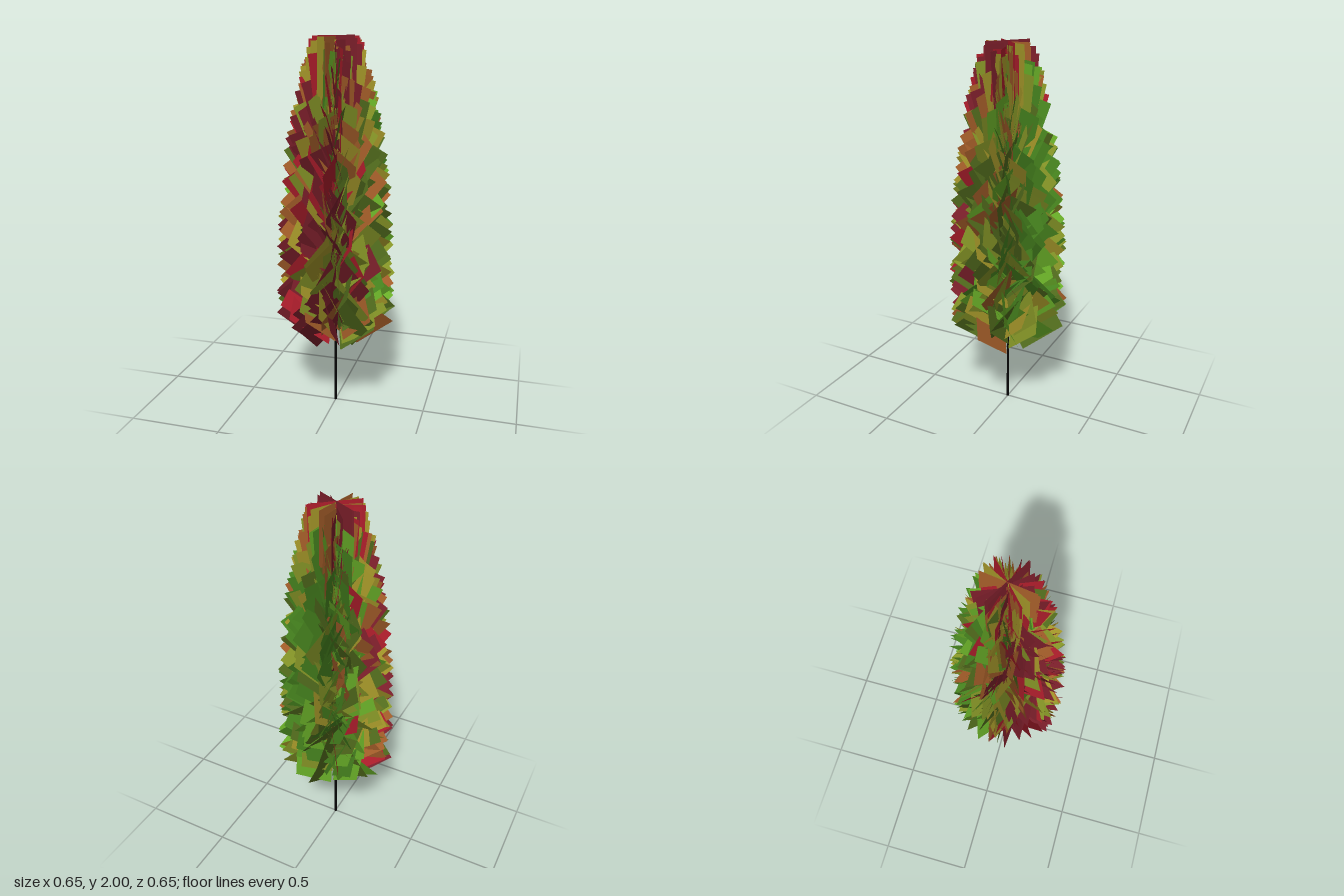
import * as THREE from 'three';
import { mergeGeometries } from 'three/addons/utils/BufferGeometryUtils.js';

const LEAVES = 400, LENGTH = 0.285, WIDTH = 0.26;
const BASE_Y = 0.425, TOP_Y = 2 - LENGTH;

// Leaf colours from the green back of the plant to its red front
const PALETTE = [0x4a8a20, 0x6ab028, 0x55701e, 0x8a9a28, 0xa89a2a, 0xa8602a, 0xb01e2c, 0x80202c];

function seeded(seed) {
  return () => {
    seed = (seed * 16807) % 2147483647;
    return seed / 2147483647;
  };
}

export function createModel() {
  const model = new THREE.Group();
  model.name = 'leafyShrub';
  const rand = seeded(4711);

  // Thin dark stem, slightly thicker near the ground
  const stemMaterial = new THREE.MeshStandardMaterial({ color: 0x050505 });
  const addStem = (name, radius, from, to) => {
    const stem = new THREE.Mesh(new THREE.CylinderGeometry(radius * 0.85, radius, to - from, 8), stemMaterial);
    stem.position.y = (from + to) / 2;
    stem.name = name;
    model.add(stem);
  };
  addStem('lowerStem', 0.008, 0, 0.2);
  addStem('upperStem', 0.0065, 0.2, 1.75);

  // Rectangular leaves spiral up the stem: spread wide below, upright at the top
  const groups = PALETTE.map(() => []);
  for (let i = 0; i < LEAVES; i++) {
    const t = i / (LEAVES - 1);
    const yaw = i * 2.39996 + (rand() - 0.5) * 0.6;
    const tilt = THREE.MathUtils.degToRad(51) * (1 - Math.pow(t, 2.3));
    const roll = (rand() < 0.5 ? -1 : 1) * (0.15 + rand() * 0.7);
    const leaf = new THREE.PlaneGeometry(WIDTH, LENGTH);
    leaf.translate(0, LENGTH / 2, 0);
    leaf.rotateY(roll);
    leaf.rotateZ(-tilt);
    leaf.translate(0.025 * (1 - t), 0, 0);
    leaf.rotateY(yaw);
    leaf.translate(0, BASE_Y + (TOP_Y - BASE_Y) * t, 0);

    // Colour follows how far the leaf points to the front, with plenty of mixing
    const front = 0.5 - 0.27 * Math.sin(yaw) - 0.1 * Math.cos(yaw) + (rand() - 0.5) * 0.75;
    const shade = THREE.MathUtils.clamp(Math.floor(front * PALETTE.length), 0, PALETTE.length - 1);
    groups[t > 0.95 ? 4 + (i % 4) : shade].push(leaf);
  }

  const foliage = new THREE.Group();
  foliage.name = 'foliage';
  groups.forEach((leaves, k) => {
    const material = new THREE.MeshStandardMaterial({ color: PALETTE[k], side: THREE.DoubleSide });
    const mesh = new THREE.Mesh(mergeGeometries(leaves), material);
    mesh.name = `leaves${k + 1}`;
    foliage.add(mesh);
  });
  model.add(foliage);
  return model;
}
